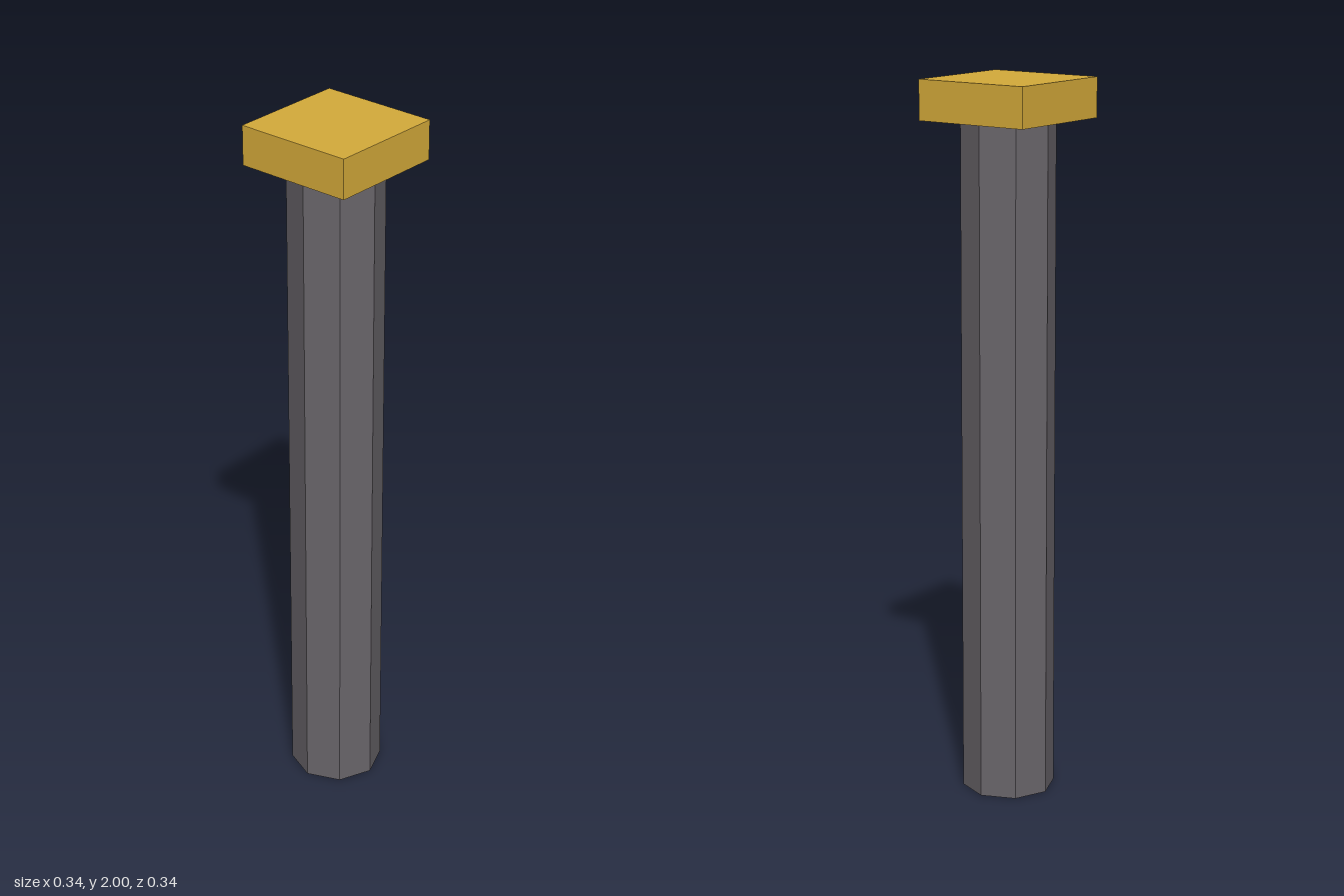
import * as THREE from 'three';

export function createModel() {
  const group = new THREE.Group();
  const capHeight = 0.11;
  const shaftHeight = 2 - capHeight;

  const add = (name, geometry, color, y) => {
    const material = new THREE.MeshStandardMaterial({ color, flatShading: true });
    const mesh = new THREE.Mesh(geometry, material);
    mesh.name = name;
    mesh.position.y = y;
    group.add(mesh);
  };

  // Eight-sided shaft, one edge facing the front
  add('shaft', new THREE.CylinderGeometry(0.13, 0.13, shaftHeight, 8), 0x69656a, shaftHeight / 2);
  // Square slab on top
  add('cap', new THREE.BoxGeometry(0.34, capHeight, 0.34), 0xd4aa3a, shaftHeight + capHeight / 2);

  return group;
}
